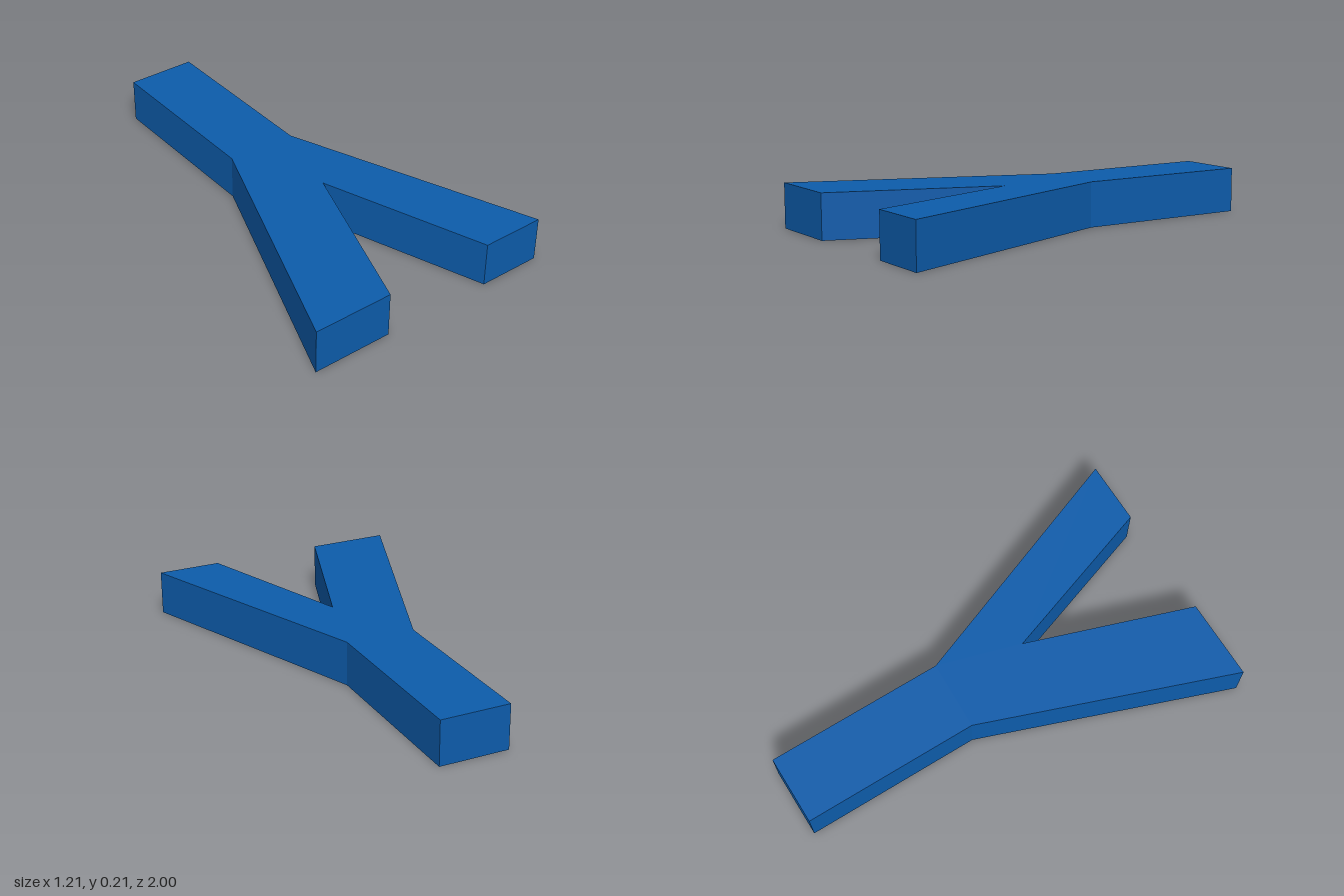
import * as THREE from 'three';

const HEIGHT = 0.21;

export function createModel() {
  const model = new THREE.Group();
  model.name = 'forkedBlock';

  const blue = new THREE.MeshStandardMaterial({ color: 0x0d5cab });
  blue.name = 'blue';

  // Plan outline as (x, z): a stem at the back splitting into two legs
  const outline = [
    [-0.605, 1], [-0.227, 1],   // wide right leg end
    [0.037, 0.23],              // crotch
    [0.306, 1], [0.605, 1],     // narrow left leg end
    [0.153, -0.16], [0.153, -1], // left side of the stem
    [-0.174, -1], [-0.174, -0.17], // right side of the stem
  ];
  const shape = new THREE.Shape(outline.map(([x, z]) => new THREE.Vector2(x, -z)));

  // Extrude upward from the ground
  const geometry = new THREE.ExtrudeGeometry(shape, { depth: HEIGHT, bevelEnabled: false });
  geometry.rotateX(-Math.PI / 2);

  const body = new THREE.Mesh(geometry, blue);
  body.name = 'forkedBody';
  model.add(body);
  return model;
}
